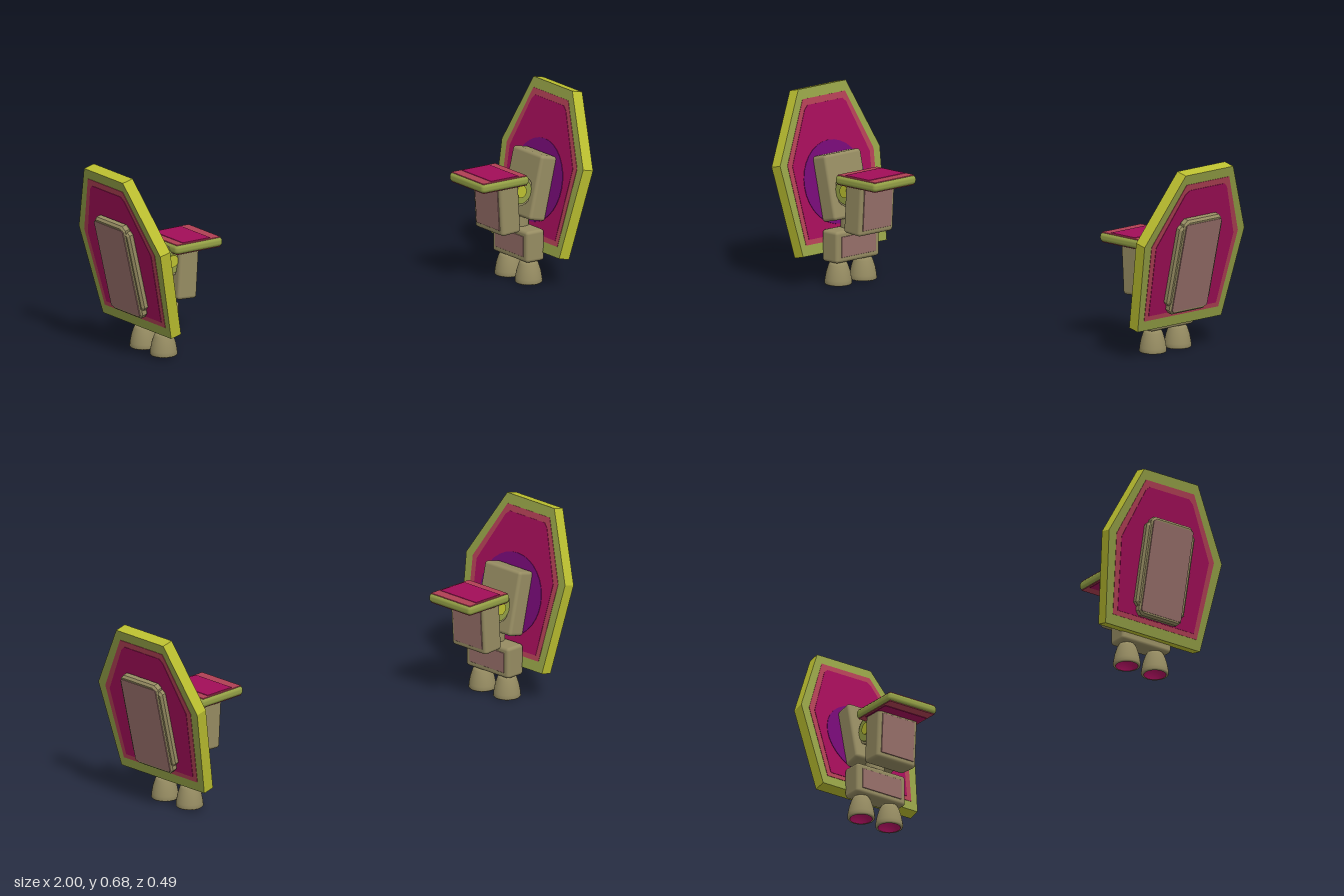
import * as THREE from 'three';
import { RoundedBoxGeometry } from 'three/addons/geometries/RoundedBoxGeometry.js';

const mat = (name, color) => {
  const m = new THREE.MeshStandardMaterial({ color });
  m.name = name;
  return m;
};

export function createModel() {
  const khaki = mat('khaki', 0x968c62);
  const brown = mat('dusty brown', 0x98706a);
  const olive = mat('olive rim', 0x94a046);
  const lime = mat('lime edge', 0xbcc030);
  const magenta = mat('magenta', 0xa20e58);
  const rose = mat('rose border', 0xb04054);
  const purple = mat('purple', 0x740a74);

  const add = (parent, name, geometry, material, x = 0, y = 0, z = 0, tilt = 0) => {
    const mesh = new THREE.Mesh(geometry, material);
    mesh.name = name;
    mesh.position.set(x, y, z);
    mesh.rotation.z = tilt;
    parent.add(mesh);
    return mesh;
  };
  const box = (w, h, d, r = 0.012) => new RoundedBoxGeometry(w, h, d, 2, r);

  // Slab from a [z, y] outline, thick along x and centred on it
  const slab = (points, depth, bevel = 0) => {
    const shape = new THREE.Shape(points.map(([z, y]) => new THREE.Vector2(-z, y)));
    const g = new THREE.ExtrudeGeometry(shape, {
      depth: depth - 2 * bevel, bevelEnabled: bevel > 0, bevelSize: bevel,
      bevelThickness: bevel, bevelOffset: -bevel, bevelSegments: 1,
    });
    g.translate(0, 0, -(depth - 2 * bevel) / 2);
    return g.rotateY(Math.PI / 2);
  };
  // Rectangle outline with cut corners
  const cutRect = (w, y0, y1, c) => [
    [w, y0 + c], [w, y1 - c], [w - c, y1], [c - w, y1],
    [-w, y1 - c], [-w, y0 + c], [c - w, y0], [w - c, y0],
  ];

  // One shoulder unit pointing to +x; zs flips the uneven shield outline
  const shoulder = (zs) => {
    const unit = new THREE.Group();

    // Leaning six-sided shield
    const shield = new THREE.Group();
    shield.name = 'shield';
    shield.position.set(0.843, 0.108, 0);
    shield.rotation.z = -0.231;
    unit.add(shield);
    const outline = (pts) => pts.map(([z, y]) => [z * zs, y]);
    const rim = [[0.207, 0], [0.247, 0.332], [0.1, 0.585], [-0.135, 0.585], [-0.247, 0.332], [-0.207, 0]];
    const border = [[0.185, 0.038], [0.212, 0.328], [0.088, 0.548], [-0.122, 0.548], [-0.214, 0.328], [-0.182, 0.038]];
    const field = [[0.168, 0.056], [0.19, 0.322], [0.088, 0.51], [0.07, 0.525],
      [-0.103, 0.525], [-0.118, 0.51], [-0.192, 0.322], [-0.165, 0.056]];
    add(shield, 'shieldRim', slab(outline(rim), 0.044), [olive, lime]);
    add(shield, 'shieldBorder', slab(outline(border), 0.047), rose);
    add(shield, 'shieldField', slab(outline(field), 0.05), magenta);

    // Stepped armour panel on the outer face
    add(shield, 'panelSides', slab(cutRect(0.105, 0.09, 0.398, 0.012), 0.03, 0.008), khaki, 0.034);
    add(shield, 'panelCore', slab(cutRect(0.092, 0.058, 0.42, 0.015), 0.034, 0.008), khaki, 0.038);
    add(shield, 'panelFace', slab(cutRect(0.086, 0.072, 0.406, 0.004), 0.004), brown, 0.055);

    // Purple patch and mounting block on the inner face
    const disc = new THREE.CylinderGeometry(0.15, 0.15, 0.004, 32).rotateZ(Math.PI / 2);
    add(shield, 'innerPatch', disc, purple, -0.025, 0.24);
    add(shield, 'mountBlock', box(0.07, 0.235, 0.18), khaki, -0.057, 0.225);

    // Hinge between the mount and the arm
    const drum = (r, l) => new THREE.CylinderGeometry(r, r, l, 24).rotateX(Math.PI / 2);
    add(unit, 'hingeDrum', drum(0.055, 0.12), khaki, 0.757, 0.338);
    add(unit, 'hingeRing', drum(0.046, 0.13), olive, 0.757, 0.338);
    add(unit, 'hingePin', drum(0.022, 0.14), lime, 0.757, 0.338);

    // Arm block and the flat plate above it
    add(unit, 'armBlock', box(0.082, 0.185, 0.17), khaki, 0.699, 0.285, 0, 0.06);
    add(unit, 'armFace', box(0.006, 0.15, 0.14, 0.002), brown, 0.658, 0.285, 0, 0.06);
    add(unit, 'topPlate', box(0.205, 0.034, 0.21, 0.014), olive, 0.666, 0.386);
    for (const s of [1, -1]) {
      add(unit, 'plateBorder', box(0.19, 0.005, 0.195, 0.002), rose, 0.666, 0.386 + s * 0.016);
      add(unit, 'plateField', box(0.12, 0.005, 0.18, 0.002), magenta, 0.67, 0.386 + s * 0.018);
    }

    // Thruster block
    add(unit, 'thrusterNeck', new THREE.CylinderGeometry(0.035, 0.035, 0.06, 20), khaki, 0.795, 0.205);
    add(unit, 'thrusterBlock', box(0.078, 0.115, 0.213), khaki, 0.793, 0.14);
    add(unit, 'thrusterFace', box(0.005, 0.075, 0.17, 0.002), brown, 0.754, 0.14);

    // Bell nozzles with hollow mouths
    const lathe = (pts) => new THREE.LatheGeometry(pts.map(([r, y]) => new THREE.Vector2(r, y)), 28);
    const bell = [[0.04, 0], [0.046, 0], [0.049, 0.004], [0.048, 0.018], [0.043, 0.045], [0.035, 0.07], [0.029, 0.082], [0, 0.09]];
    const mouth = [[0, 0.05], [0.028, 0.04], [0.04, 0]];
    for (const z of [0.0615, -0.0615]) {
      add(unit, 'nozzle', lathe(bell), khaki, 0.793, 0, z);
      add(unit, 'nozzleMouth', lathe(mouth), magenta, 0.793, 0, z);
    }
    return unit;
  };

  const model = new THREE.Group();
  model.name = 'shoulderShields';
  const left = shoulder(1);
  left.name = 'leftShoulder';
  const right = shoulder(-1);
  right.name = 'rightShoulder';
  right.rotation.y = Math.PI;
  model.add(left, right);
  return model;
}
